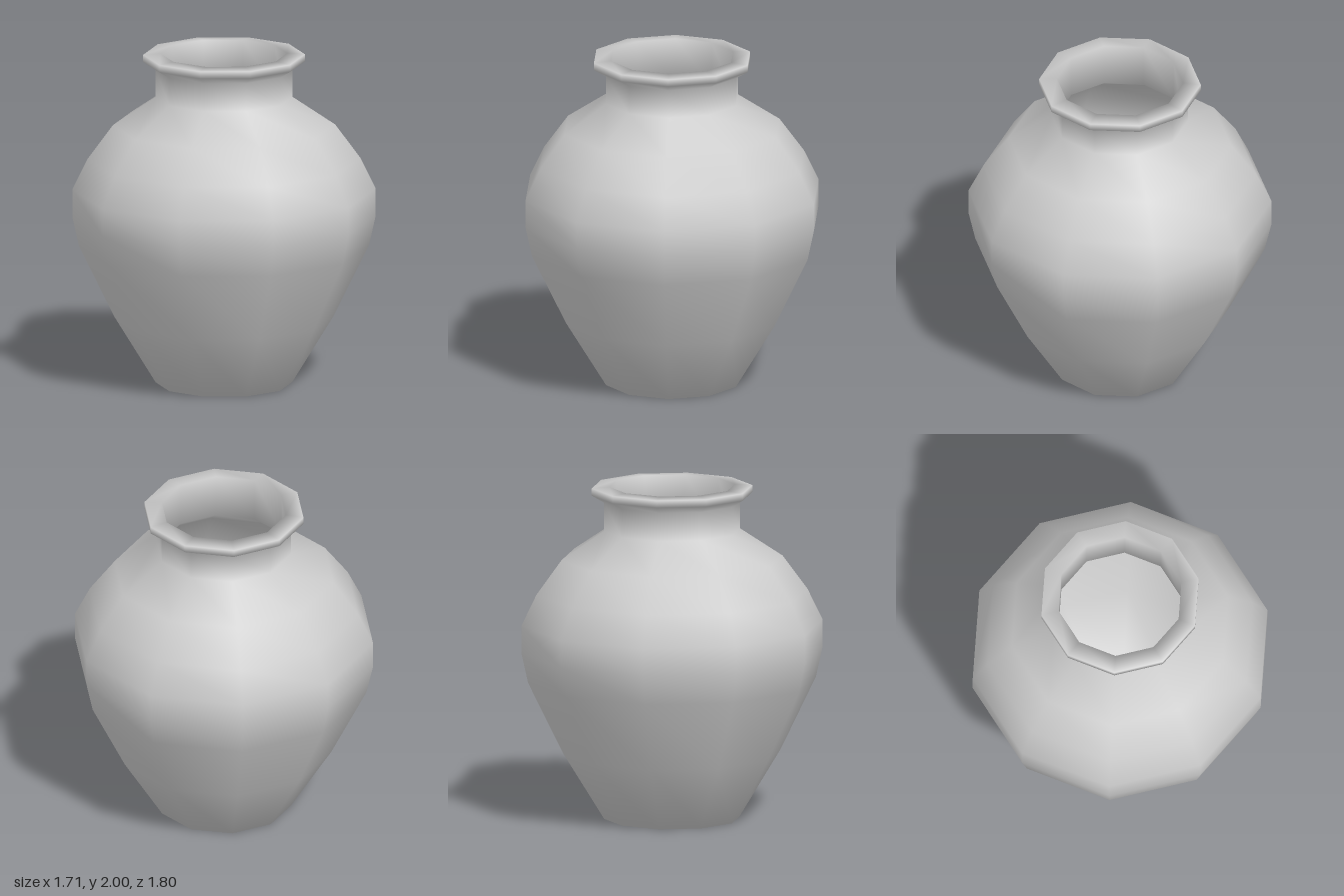
import * as THREE from 'three';

const SIDES = 10;

export function createModel() {
  const model = new THREE.Group();
  model.name = 'vase';
  const material = new THREE.MeshStandardMaterial({ color: 0xcccccc });

  // Each part is a ten-sided lathe with a corner on the z axis; profiles are [radius, height]
  const turn = (name, profile) => {
    const points = profile.map(([r, y]) => new THREE.Vector2(r, y));
    const mesh = new THREE.Mesh(new THREE.LatheGeometry(points, SIDES), material);
    mesh.name = name;
    model.add(mesh);
  };

  // Foot, belly, shoulder, neck and flared lip, then back down the inside to the floor
  const belly = [
    [0.405, 0], [0.65, 0.4], [0.86, 0.83], [0.9, 1.01],
    [0.9, 1.175], [0.81, 1.36], [0.66, 1.565], [0.405, 1.735],
  ];
  const lip = [[0.405, 1.905], [0.48, 1.95], [0.48, 1.993], [0.375, 2]];
  const wall = 0.03;
  const inside = belly.map(([r, y]) => [r - wall, Math.max(y, wall)]).reverse();

  turn('vaseBody', [[0, 0], ...belly, ...lip, ...inside, [0, wall]]);
  return model;
}
